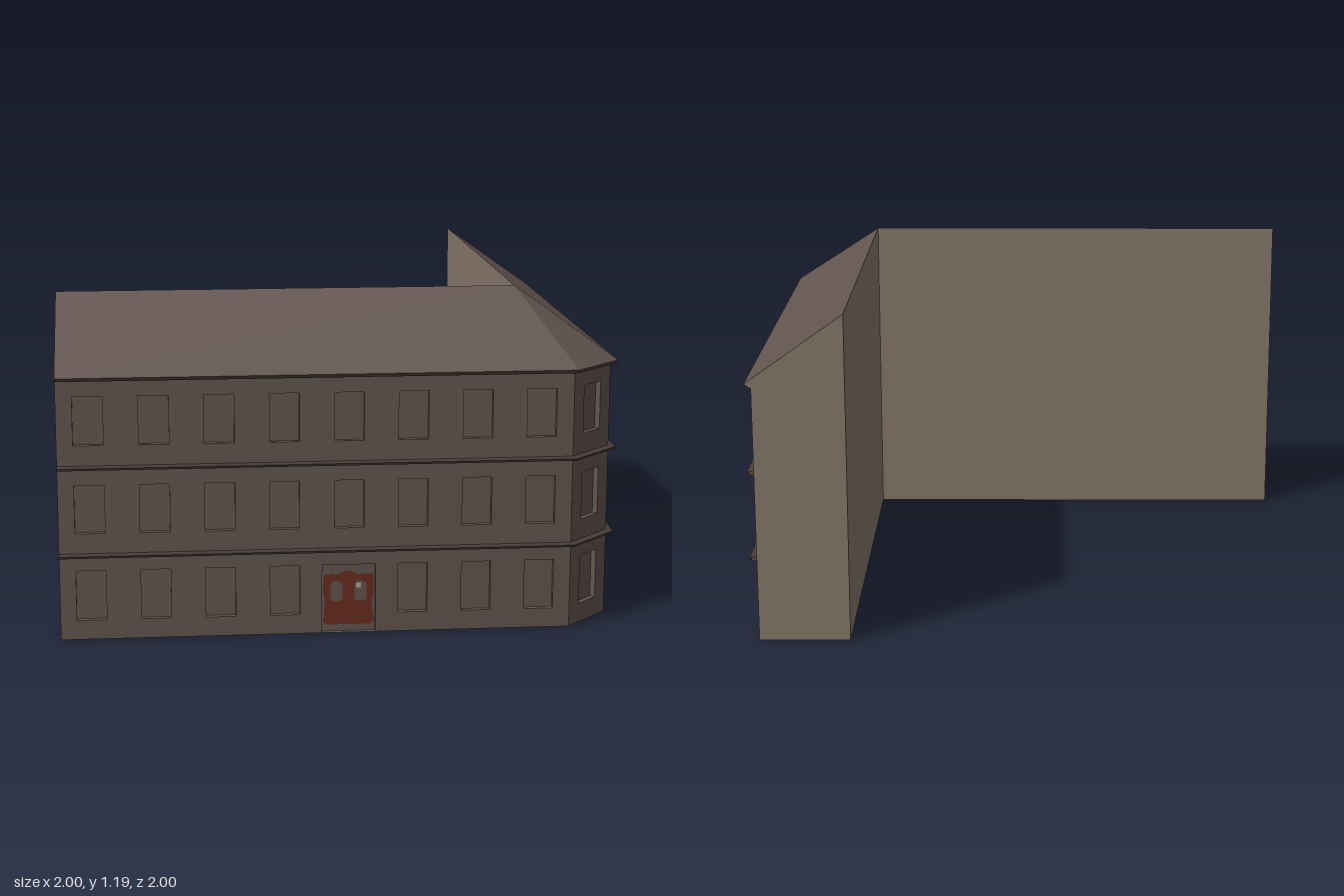
import * as THREE from 'three';

const mat = (name, color) => {
  const m = new THREE.MeshStandardMaterial({ color, side: THREE.DoubleSide });
  m.name = name;
  return m;
};

export function createModel() {
  const wallMat = mat('brown plaster', 0x62554f);
  const roofMat = mat('brown roof', 0x62544f);
  const trimMat = mat('dark trim', 0x483d39);
  const backMat = mat('beige render', 0x85776a);
  const doorMat = mat('red door', 0x6a2c20);
  const paleMat = mat('pale glint', 0xb5a898);

  const model = new THREE.Group();
  model.name = 'cornerBuilding';
  const add = (parent, name, geometry, material) => {
    const mesh = new THREE.Mesh(geometry, material);
    mesh.name = name;
    parent.add(mesh);
    return mesh;
  };

  // Street line in plan, pushed outwards by o; the corner is cut off
  const W = 0.975, C = 0.812, DEPTH = 0.02;
  const street = (o, y) => [
    [-1, y, W + o], [C + 0.414 * o, y, W + o],
    [W + o, y, C + 0.414 * o], [W + o, y, -1],
  ];

  // Flat-shaded surface joining successive rows of points
  const loft = (rows) => {
    const p = [];
    for (let r = 0; r < rows.length - 1; r++) {
      const a = rows[r], b = rows[r + 1];
      for (let i = 0; i < a.length - 1; i++)
        p.push(...a[i], ...a[i + 1], ...b[i + 1], ...a[i], ...b[i + 1], ...b[i]);
    }
    const g = new THREE.BufferGeometry();
    g.setAttribute('position', new THREE.Float32BufferAttribute(p, 3));
    g.computeVertexNormals();
    return g;
  };

  const rectPath = (x, y, w, h) => new THREE.Path([
    [x - w / 2, y], [x - w / 2, y + h], [x + w / 2, y + h], [x + w / 2, y],
  ].map(([a, b]) => new THREE.Vector2(a, b)));

  // Open-fronted box behind the wall face: reveals and pane
  const recess = (parent, name, x, y, w, h) => {
    const g = new THREE.BoxGeometry(w, h, DEPTH);
    const index = Array.from(g.index.array);
    index.splice(24, 6);
    g.setIndex(index);
    g.clearGroups();
    add(parent, name, g, wallMat).position.set(x, y + h / 2, -DEPTH / 2);
  };

  // Door leaf with a wavy top and two glazed openings
  const doorLeaf = (parent, x) => {
    const s = new THREE.Shape();
    s.moveTo(-0.075, 0.025);
    s.lineTo(0.075, 0.025);
    s.quadraticCurveTo(0.092, 0.028, 0.092, 0.045);
    s.quadraticCurveTo(0.078, 0.1, 0.09, 0.14);
    s.lineTo(0.09, 0.208);
    s.quadraticCurveTo(0.06, 0.215, 0.035, 0.208);
    s.quadraticCurveTo(0, 0.238, -0.035, 0.208);
    s.quadraticCurveTo(-0.06, 0.215, -0.09, 0.208);
    s.lineTo(-0.09, 0.14);
    s.quadraticCurveTo(-0.078, 0.1, -0.092, 0.045);
    s.quadraticCurveTo(-0.092, 0.028, -0.075, 0.025);
    for (const side of [-1, 1]) {
      const hole = new THREE.Path(), c = side * 0.043;
      hole.moveTo(c - 0.022, 0.12);
      hole.lineTo(c - 0.022, 0.175);
      hole.quadraticCurveTo(c, 0.198, c + 0.022, 0.175);
      hole.lineTo(c + 0.022, 0.12);
      hole.quadraticCurveTo(c, 0.1, c - 0.022, 0.12);
      s.holes.push(hole);
    }
    add(parent, 'doorLeaf', new THREE.ShapeGeometry(s, 6), doorMat).position.set(x, 0, -DEPTH + 0.004);
    add(parent, 'doorGlint', new THREE.PlaneGeometry(0.018, 0.018), paleMat)
      .position.set(x + 0.036, 0.168, -DEPTH + 0.003);
  };

  // One straight facade from plan point a to b with three storeys of windows
  const facade = (name, a, b, centres, doorIndex) => {
    const dx = b[0] - a[0], dz = b[2] - a[2], length = Math.hypot(dx, dz), top = 0.935;
    const group = new THREE.Group();
    group.name = name;
    group.position.set(a[0], 0, a[2]);
    group.rotation.y = Math.atan2(-dz, dx);
    const dw = 0.095, dh = 0.25;
    const outline = [[0, 0]];
    if (doorIndex >= 0) {
      const d = centres[doorIndex];
      outline.push([d - dw, 0], [d - dw, dh], [d + dw, dh], [d + dw, 0]);
    }
    outline.push([length, 0], [length, top], [0, top]);
    const wall = new THREE.Shape(outline.map(([x, y]) => new THREE.Vector2(x, y)));
    [0.07, 0.385, 0.7].forEach((y, floor) => centres.forEach((x, i) => {
      if (floor === 0 && i === doorIndex) {
        recess(group, 'doorway', x, 0, dw * 2, dh);
        doorLeaf(group, x);
        return;
      }
      const h = floor === 0 ? 0.18 : 0.173;
      wall.holes.push(rectPath(x, y, 0.105, h));
      recess(group, 'window', x, y, 0.105, h);
    }));
    add(group, 'wall', new THREE.ShapeGeometry(wall), wallMat);
    model.add(group);
  };

  const plan = street(0, 0);
  const bays = (first) => Array.from({ length: 8 }, (_, i) => first + 0.227 * i);
  facade('frontFacade', plan[0], plan[1], bays(0.11), 4);
  facade('cornerFacade', plan[1], plan[2], [Math.hypot(W - C, W - C) / 2], -1);
  facade('rightFacade', plan[2], plan[3], bays(0.114), 4);

  // String courses and eaves moulding
  for (const y of [0.305, 0.62])
    add(model, 'stringCourse', loft([
      street(0, y - 0.008), street(0.022, y - 0.004), street(0.025, y + 0.004), street(0, y + 0.008),
    ]), trimMat);
  add(model, 'eaves', loft([street(0, 0.926), street(0.02, 0.93), street(0.025, 0.942)]), trimMat);

  // Single-pitch roof with a triangular hip over the cut corner
  const R = 0.65, H = 1.19;
  add(model, 'roof', loft([street(0.025, 0.942), [[-1, H, R], [R, H, R], [R, H, R], [R, H, -1]]]), roofMat);

  // Plain courtyard walls
  add(model, 'courtyardWalls', loft([0, H].map((y) => [[R, y, -1], [R, y, R], [-1, y, R]])), backMat);

  // Plain end walls with sloping tops
  const gable = new THREE.Shape([[R, 0], [W, 0], [W, 0.926], [1, 0.942], [R, H]]
    .map(([x, y]) => new THREE.Vector2(x, y)));
  add(model, 'rightWingEndWall', new THREE.ShapeGeometry(gable), backMat).position.z = -1;
  const end = add(model, 'frontWingEndWall', new THREE.ShapeGeometry(gable), backMat);
  end.rotation.y = -Math.PI / 2;
  end.position.x = -1;

  return model;
}
